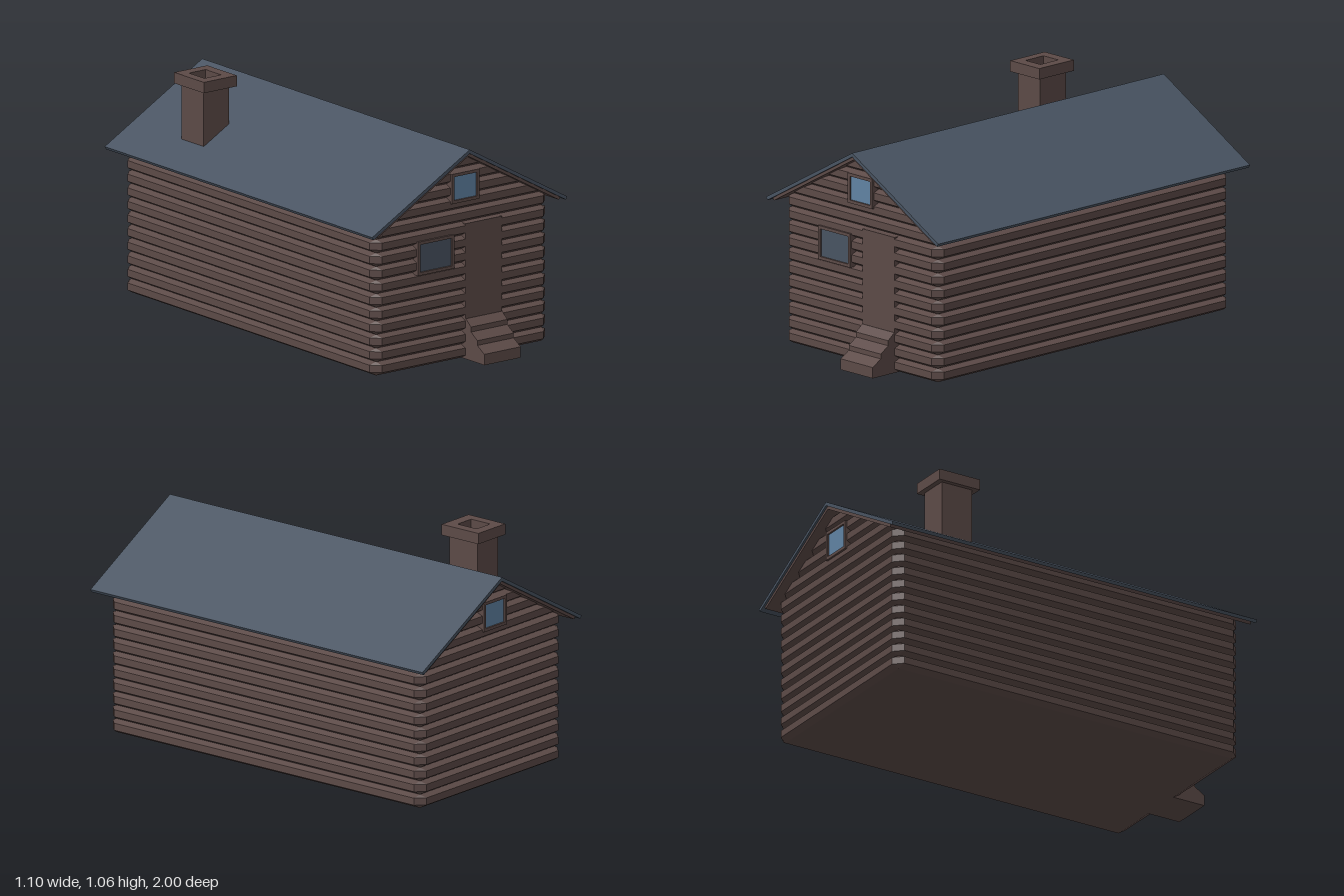
import * as THREE from 'three';

const wood = new THREE.MeshStandardMaterial({ color: 0x5c4a47 });
wood.name = 'wood';
const slate = new THREE.MeshStandardMaterial({ color: 0x485361 });
slate.name = 'slate';
const paleGlass = new THREE.MeshStandardMaterial({ color: 0x6082a2 });
paleGlass.name = 'paleGlass';

const SLOPE = 0.563; // roof fall per unit of x
const COURSE = 0.0625; // height of one log

function add(parent, name, geometry, material, x = 0, y = 0, z = 0) {
  const mesh = new THREE.Mesh(geometry, material);
  mesh.name = name;
  mesh.position.set(x, y, z);
  parent.add(mesh);
  return mesh;
}

// Box given by its limits
function block(parent, name, material, x0, x1, y0, y1, z0, z1) {
  return add(parent, name, new THREE.BoxGeometry(x1 - x0, y1 - y0, z1 - z0), material,
    (x0 + x1) / 2, (y0 + y1) / 2, (z0 + z1) / 2);
}

function extrude(points, depth, hole) {
  const shape = new THREE.Shape(points.map(p => new THREE.Vector2(...p)));
  if (hole) shape.holes.push(new THREE.Path(hole.map(p => new THREE.Vector2(...p))));
  return new THREE.ExtrudeGeometry(shape, { depth, bevelEnabled: false });
}

const rect = (x0, x1, y0, y1) => [[x0, y0], [x1, y0], [x1, y1], [x0, y1]];

// Faceted loft through rectangular rings with cut corners
function logLoft(levels) {
  const rings = levels.map(([y, hx, hz, c]) => [
    [hx, y, hz - c], [hx - c, y, hz], [c - hx, y, hz], [-hx, y, hz - c],
    [-hx, y, c - hz], [c - hx, y, -hz], [hx - c, y, -hz], [hx, y, c - hz],
  ]);
  const pos = [];
  const tri = (...corners) => corners.forEach(p => pos.push(...p));
  for (let k = 0; k < rings.length - 1; k++) {
    for (let i = 0; i < 8; i++) {
      const j = (i + 1) % 8;
      const a = rings[k][i], b = rings[k][j], c = rings[k + 1][j], d = rings[k + 1][i];
      tri(a, d, c);
      tri(a, c, b);
    }
  }
  const last = rings[rings.length - 1];
  for (let i = 1; i < 7; i++) {
    tri(rings[0][0], rings[0][i], rings[0][i + 1]);
    tri(last[0], last[i + 1], last[i]);
  }
  const g = new THREE.BufferGeometry();
  g.setAttribute('position', new THREE.Float32BufferAttribute(pos, 3));
  g.computeVertexNormals();
  return g;
}

// Chevron cross-section between two roof lines
function chevron(topRidge, xTop, lowRidge, xLow, depth) {
  return extrude([
    [0, topRidge], [-xTop, topRidge - SLOPE * xTop], [-xLow, lowRidge - SLOPE * xLow],
    [0, lowRidge], [xLow, lowRidge - SLOPE * xLow], [xTop, topRidge - SLOPE * xTop],
  ], depth);
}

// Frame with a recessed pane
function makeWindow(name, x0, x1, y0, y1, border, glass) {
  const group = new THREE.Group();
  group.name = name;
  const pane = rect(x0 + border, x1 - border, y0 + border, y1 - border);
  add(group, 'windowFrame', extrude(rect(x0, x1, y0, y1), 0.045, pane), wood, 0, 0, 0.87);
  block(group, 'windowPane', glass, x0 + border, x1 - border, y0 + border, y1 - border, 0.9, 0.907);
  return group;
}

export function createModel() {
  const model = new THREE.Group();
  model.name = 'logCabin';

  // Walls and gables, centred a little behind the origin because of the steps
  const house = new THREE.Group();
  house.name = 'house';
  house.position.z = -0.04;
  model.add(house);

  const levels = [[0, 0.465, 0.875, 0]];
  for (let i = 0; i < 15; i++) {
    const y = i * COURSE;
    const gable = i >= 11;
    for (const [dy, out] of [[0.017, 1], [0.05, 1], [COURSE, 0]]) {
      const h = y + dy;
      const hx = gable ? (0.95 - h) / SLOPE : 0.465 + out * 0.03;
      levels.push([h, hx, 0.875 + out * 0.03, gable ? 0 : out * 0.04]);
    }
  }
  add(house, 'logWalls', logLoft(levels), wood);

  // Windows: one beside the door, one in each gable
  house.add(makeWindow('frontWindow', -0.26, -0.055, 0.43, 0.585, 0.014, slate));
  for (const back of [false, true]) {
    const w = makeWindow(back ? 'backGableWindow' : 'frontGableWindow',
      -0.07, 0.087, 0.727, 0.864, 0.014, paleGlass);
    if (back) w.rotation.y = Math.PI;
    house.add(w);
  }

  // Door and sloping steps
  block(model, 'door', wood, 0.015, 0.22, 0.15, 0.622, 0.82, 0.867);
  const steps = add(model, 'steps', extrude([
    [0.82, 0], [1, 0], [1, 0.05], [0.95, 0.08], [0.95, 0.102],
    [0.905, 0.132], [0.905, 0.155], [0.868, 0.185], [0.82, 0.185],
  ], 0.205), wood, 0.22);
  steps.rotation.y = -Math.PI / 2;

  // Roof covering over a boarded underlay
  add(model, 'roof', chevron(0.975, 0.55, 0.957, 0.542, 1.915), slate, 0, 0, -1);
  add(model, 'roofBoards', chevron(0.957, 0.517, 0.942, 0.51, 1.895), wood, 0, 0, -0.99);

  // Chimney with a hollow cap
  const chimney = new THREE.Group();
  chimney.name = 'chimney';
  model.add(chimney);
  block(chimney, 'chimneyShaft', wood, -0.397, -0.255, 0.65, 1.008, -0.645, -0.485);
  const cap = add(chimney, 'chimneyCap',
    extrude(rect(-0.418, -0.232, 0.458, 0.67), 0.05, rect(-0.374, -0.28, 0.51, 0.62)),
    wood, 0, 1.006, 0);
  cap.rotation.x = -Math.PI / 2;

  // Steps profile runs along z, so shift it to the doorway
  steps.position.x = 0.22;
  return model;
}
